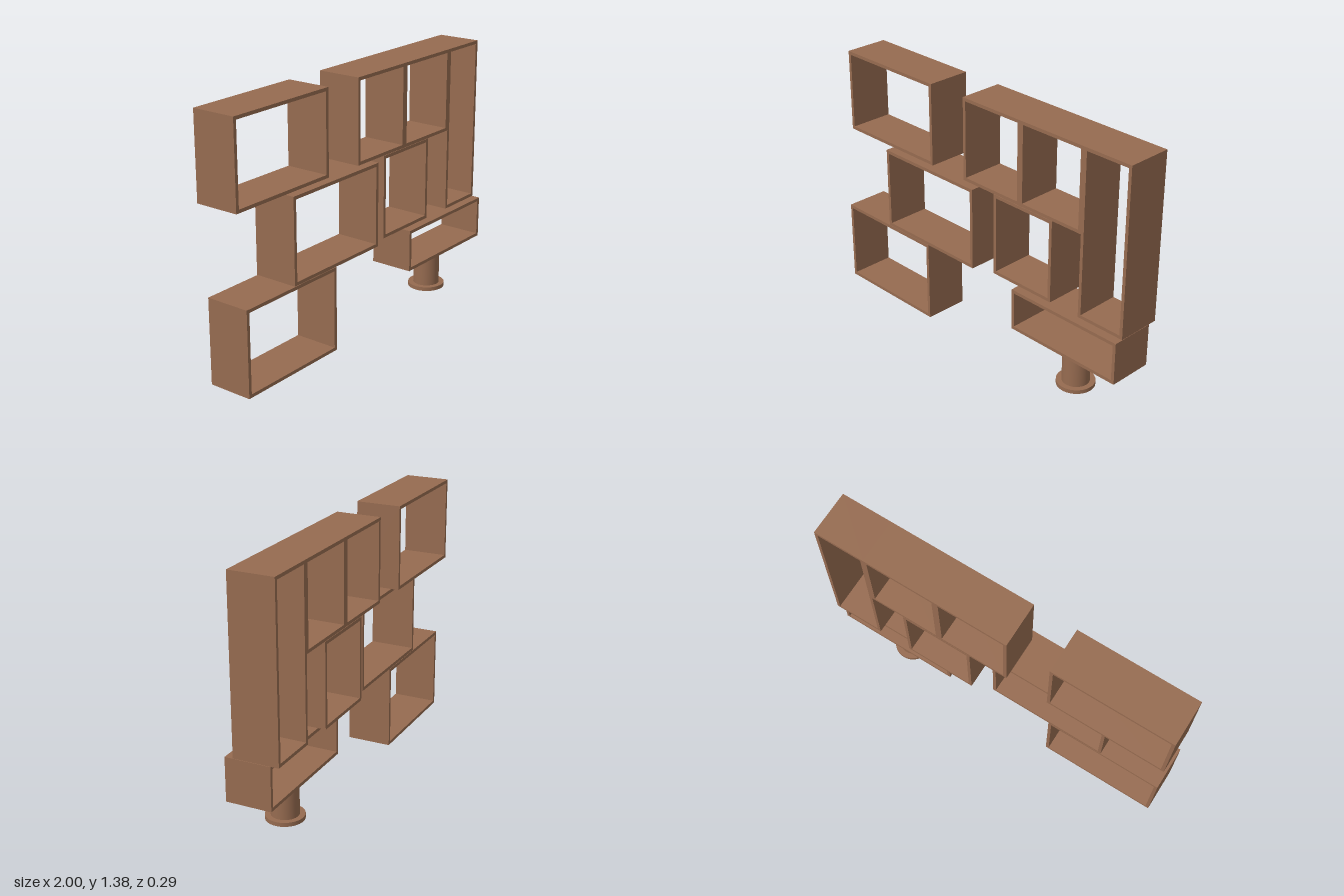
import * as THREE from 'three';

const WALL = 0.018;
const DEPTH = 0.245;
const wood = new THREE.MeshStandardMaterial({ color: 0x966b50 });

// Rectangular loop of corners, usable as outline or hole
function rect(path, x0, x1, y0, y1) {
  path.moveTo(x0, y0);
  path.lineTo(x1, y0);
  path.lineTo(x1, y1);
  path.lineTo(x0, y1);
  path.closePath();
  return path;
}

// Open-backed box frame running from front to back
function cubby(name, x0, x1, y0, y1, zBack) {
  const shape = rect(new THREE.Shape(), x0, x1, y0, y1);
  shape.holes.push(rect(new THREE.Path(), x0 + WALL, x1 - WALL, y0 + WALL, y1 - WALL));
  const geometry = new THREE.ExtrudeGeometry(shape, { depth: DEPTH, bevelEnabled: false });
  const mesh = new THREE.Mesh(geometry, wood);
  mesh.name = name;
  mesh.position.z = zBack;
  return mesh;
}

// Hollow ring or pipe; repeated corners keep the rims sharp
function pipe(name, inner, outer, y0, y1) {
  const corners = [[inner, y0], [outer, y0], [outer, y1], [inner, y1], [inner, y0]];
  const group = new THREE.Group();
  group.name = name;
  for (let i = 0; i < 4; i++) {
    const profile = [corners[i], corners[i + 1]].map(([r, y]) => new THREE.Vector2(r, y));
    const mesh = new THREE.Mesh(new THREE.LatheGeometry(profile, 48), wood);
    mesh.name = name + 'Surface';
    group.add(mesh);
  }
  return group;
}

export function createModel() {
  const model = new THREE.Group();
  model.name = 'stackedShelf';

  // Cubbies alternate between a rear and a forward position
  const rear = -0.145, forward = -0.1;
  const cubbies = [
    ['upperLeftCubby', -1, -0.332, 0.922, 1.38, rear],
    ['middleLeftCubby', -0.654, 0.016, 0.461, 0.92, forward],
    ['lowerLeftCubby', -1, -0.332, 0, 0.459, forward],
    ['upperCentreCubby', -0.095, 0.307, 0.922, 1.38, rear],
    ['upperRightCubby', 0.307, 0.715, 0.922, 1.38, rear],
    ['tallCubby', 0.715, 1, 0.461, 1.38, rear],
    ['smallCubby', 0.125, 0.528, 0.461, 0.92, rear],
    ['lowCubby', 0.304, 1, 0.225, 0.459, forward],
  ];
  for (const spec of cubbies) model.add(cubby(...spec));

  // Round leg with a flanged foot
  const leg = new THREE.Group();
  leg.name = 'leg';
  leg.position.set(0.65, 0, 0.022);
  leg.add(pipe('legPost', 0.069, 0.073, 0, 0.225), pipe('legFlange', 0.071, 0.102, 0, 0.022));
  model.add(leg);

  return model;
}
